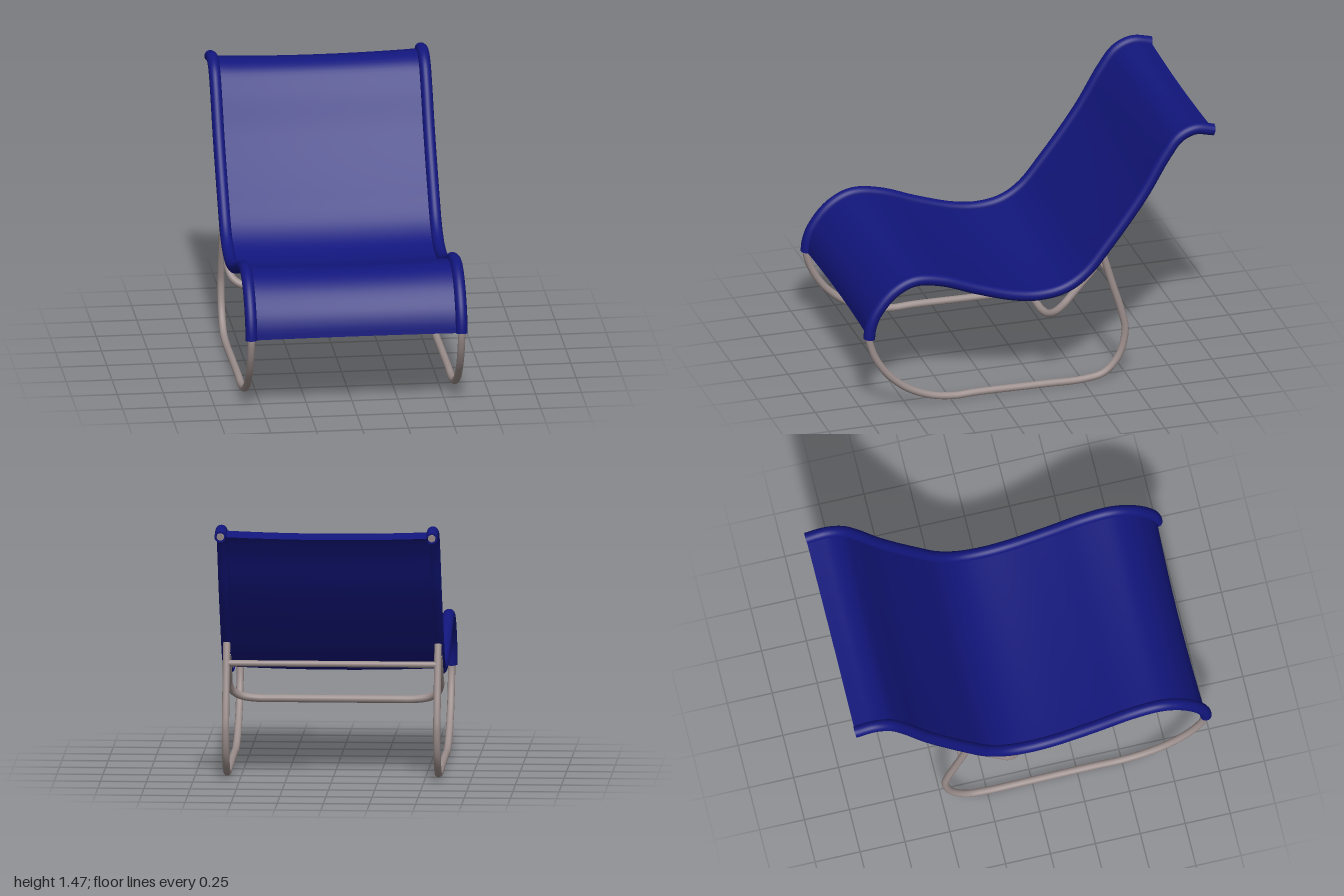
import * as THREE from 'three';
import { mergeGeometries } from 'three/addons/utils/BufferGeometryUtils.js';

const RAIL_X = 0.573, TUBE_R = 0.02, SLEEVE_R = 0.032;
const metal = new THREE.MeshStandardMaterial({ color: 0x9c8f8d });
const cloth = new THREE.MeshStandardMaterial({ color: 0x12167c, side: THREE.DoubleSide });

// Side profiles as [z, y]
const SEAT = [
  [0.967, 0.44], [0.96, 0.5], [0.932, 0.575], [0.85, 0.68], [0.757, 0.738], [0.68, 0.752],
  [0.543, 0.727], [0.356, 0.655], [0.14, 0.586], [0, 0.568], [-0.136, 0.588], [-0.25, 0.655],
  [-0.377, 0.803], [-0.58, 1.08], [-0.714, 1.305], [-0.79, 1.402], [-0.88, 1.438], [-0.985, 1.418],
];
const BASE = [
  [-0.357, 0.762], [-0.41, 0.58], [-0.468, 0.385], [-0.484, 0.29], [-0.45, 0.144], [-0.366, 0.05],
  [-0.26, 0.026], [0, 0.028], [0.356, 0.034], [0.49, 0.031], [0.623, 0.055], [0.757, 0.118],
  [0.864, 0.214], [0.93, 0.315], [0.958, 0.39],
];

const spline = (points) => new THREE.CatmullRomCurve3(points, false, 'centripetal');
const atX = (x, profile) => profile.map(([z, y]) => new THREE.Vector3(x, y, z));

// Round tube with closed ends
function tube(name, curve, radius, segments) {
  const parts = [new THREE.TubeGeometry(curve, segments, radius, 14, false)];
  for (const t of [0, 1]) {
    const dir = curve.getTangentAt(t).multiplyScalar(t ? 1 : -1);
    const cap = new THREE.CircleGeometry(radius, 14);
    cap.applyQuaternion(new THREE.Quaternion().setFromUnitVectors(new THREE.Vector3(0, 0, 1), dir));
    const p = curve.getPointAt(t);
    parts.push(cap.translate(p.x, p.y, p.z));
  }
  const mesh = new THREE.Mesh(mergeGeometries(parts), metal);
  mesh.name = name;
  return mesh;
}

// Sweep a cross-section of [x, height above the curve] along part of the seat curve
const seatCurve = spline(atX(0, SEAT));
function sweep(section, steps) {
  const pos = [], index = [], n = section.length;
  for (let i = 0; i <= steps; i++) {
    const p = seatCurve.getPointAt(i / steps), t = seatCurve.getTangentAt(i / steps);
    for (const [x, h] of section) pos.push(x, p.y - t.z * h, p.z + t.y * h);
  }
  for (let i = 0; i < steps; i++) {
    for (let j = 0; j < n - 1; j++) {
      const a = i * n + j, b = a + n;
      index.push(a, a + 1, b, a + 1, b + 1, b);
    }
  }
  const g = new THREE.BufferGeometry();
  g.setAttribute('position', new THREE.Float32BufferAttribute(pos, 3));
  g.setIndex(index);
  g.computeVertexNormals();
  return g;
}

// Flat C-shaped end of a sleeve
function sleeveEnd(outer, inner, t) {
  const shape = new THREE.Shape([...outer, ...[...inner].reverse()].map(([x, h]) => new THREE.Vector2(x, h)));
  const g = new THREE.ShapeGeometry(shape);
  g.deleteAttribute('uv');
  const p = seatCurve.getPointAt(t), d = seatCurve.getTangentAt(t);
  const basis = new THREE.Matrix4().makeBasis(
    new THREE.Vector3(1, 0, 0), new THREE.Vector3(0, -d.z, d.y), new THREE.Vector3(0, -d.y, -d.z));
  return g.applyMatrix4(basis.setPosition(p));
}

// Cloth sleeve around a rail, left open along its inner underside
function sleeve(name, side) {
  const arc = (r) => Array.from({ length: 25 }, (_, i) => {
    const a = Math.PI * (1 - 1.75 * i / 24);
    return [side * (RAIL_X + r * Math.cos(a)), r * Math.sin(a)];
  });
  const outer = arc(SLEEVE_R), inner = arc(TUBE_R + 0.002);
  const geometry = mergeGeometries([
    sweep(outer, 110), sweep(inner, 110),
    sweep([outer[24], inner[24]], 110),
    sleeveEnd(outer, inner, 0), sleeveEnd(outer, inner, 1),
  ]);
  const mesh = new THREE.Mesh(geometry, cloth);
  mesh.name = name;
  return mesh;
}

export function createModel() {
  const group = new THREE.Group();
  group.name = 'loungeChair';

  // Bent side frames and their cloth sleeves
  for (const [label, side] of [['left', 1], ['right', -1]]) {
    const path = [...BASE, ...SEAT];
    group.add(tube(label + 'Frame', spline(atX(side * RAIL_X, path)), TUBE_R, 220));
    group.add(sleeve(label + 'Sleeve', side));
  }

  // Sling stretched between the sleeves, sagging slightly
  const half = RAIL_X - TUBE_R - 0.006;
  const section = Array.from({ length: 17 }, (_, i) => {
    const u = i / 8 - 1;
    return [u * half, -0.012 * (1 - u * u)];
  });
  const sling = new THREE.Mesh(sweep(section, 110), cloth);
  sling.name = 'sling';
  group.add(sling);

  // Straight brace between the rear legs
  const brace = new THREE.LineCurve3(
    new THREE.Vector3(-RAIL_X, 0.64, -0.393), new THREE.Vector3(RAIL_X, 0.64, -0.393));
  group.add(tube('rearBrace', brace, 0.017, 1));

  // U-shaped brace hanging forward under the seat
  const arm = [[RAIL_X, 0.68, -0.308], [RAIL_X, 0.54, -0.182], [RAIL_X, 0.49, -0.137],
    [0.555, 0.445, -0.097], [0.51, 0.415, -0.07], [0.43, 0.401, -0.057], [0.3, 0.4, -0.056]];
  const points = [
    ...arm.map(([x, y, z]) => new THREE.Vector3(x, y, z)),
    ...[...arm].reverse().map(([x, y, z]) => new THREE.Vector3(-x, y, z)),
  ];
  group.add(tube('underSeatBrace', spline(points), 0.021, 120));

  return group;
}
